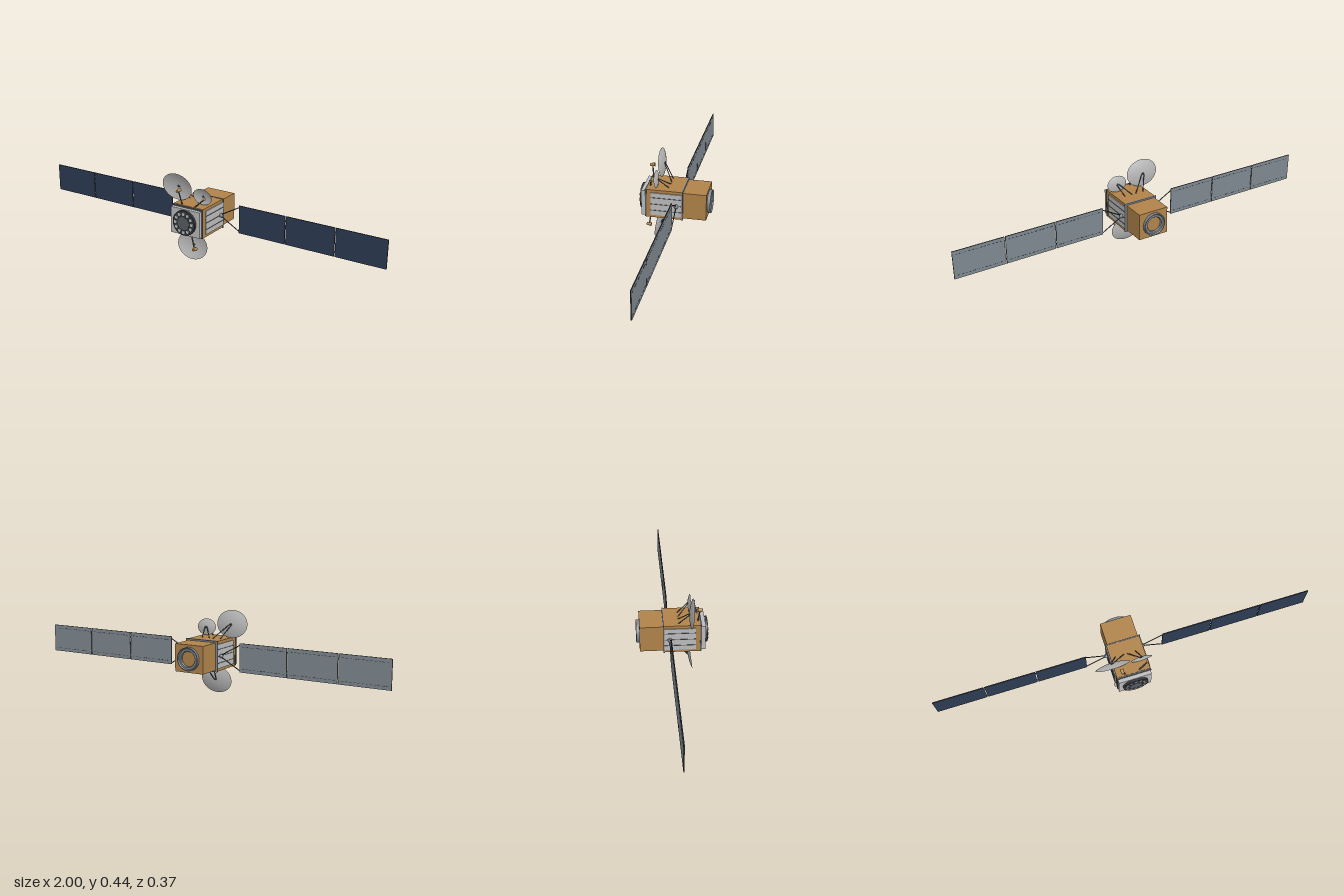
import * as THREE from 'three';

const mat = (name, color, side = THREE.FrontSide) => {
  const m = new THREE.MeshStandardMaterial({ color, side });
  m.name = name;
  return m;
};

export function createModel() {
  const root = new THREE.Group();
  root.name = 'satellite';
  const foil = mat('gold foil', 0xb0834a);
  const light = mat('light grey', 0xbcbcbc);
  const dishMat = mat('dish grey', 0xb8b8b8, THREE.DoubleSide);
  const grey = mat('blue grey', 0x7f8890);
  const steel = mat('strut grey', 0x565c62);
  const dark = mat('dark grey', 0x33383c);
  const blue = mat('solar blue', 0x2c3c52);
  const CY = 0.225; // height of the body axis

  const add = (name, geo, m, x = 0, y = 0, z = 0, parent = root) => {
    const mesh = new THREE.Mesh(geo, m);
    mesh.name = name;
    mesh.position.set(x, y, z);
    parent.add(mesh);
    return mesh;
  };
  const box = (name, w, h, d, m, x, y, z, parent) =>
    add(name, new THREE.BoxGeometry(w, h, d), m, x, y, z, parent);
  // cylinder along z; r1 is the radius at the +z end
  const disc = (name, r1, r2, d, m, x, y, z, parent) =>
    add(name, new THREE.CylinderGeometry(r1, r2, d, 40).rotateX(Math.PI / 2), m, x, y, z, parent);
  const rod = (name, a, b, r, m) => {
    const p = new THREE.Vector3(...a), q = new THREE.Vector3(...b);
    const mesh = add(name, new THREE.CylinderGeometry(r, r, p.distanceTo(q), 10), m);
    mesh.position.copy(p).add(q).multiplyScalar(0.5);
    mesh.quaternion.setFromUnitVectors(new THREE.Vector3(0, 1, 0), q.sub(p).normalize());
  };

  // Body
  box('mainBody', 0.176, 0.155, 0.185, foil, 0, CY, 0.0475);
  box('rearBody', 0.164, 0.142, 0.122, foil, 0, CY, -0.106);
  box('bodyFlange', 0.186, 0.159, 0.006, grey, 0, CY, -0.044);
  box('frontFrame', 0.18, 0.152, 0.008, steel, 0, CY, 0.144);
  box('frontDeck', 0.172, 0.138, 0.02, light, 0, CY, 0.158);

  // Front docking ring with studs
  disc('frontRing', 0.066, 0.066, 0.013, dark, 0, CY, 0.1745);
  disc('frontHub', 0.034, 0.034, 0.004, steel, 0, CY, 0.182);
  for (let i = 0; i < 12; i++) {
    const a = (i / 12) * Math.PI * 2;
    disc('frontStud', 0.008, 0.008, 0.004, light,
      Math.cos(a) * 0.049, CY + Math.sin(a) * 0.049, 0.183);
  }

  // Rear nozzle ring, open in the middle
  const ringProfile = [[0.038, 0], [0.06, 0], [0.06, 0.016], [0.056, 0.016], [0.052, 0.01], [0.042, 0.01], [0.038, 0.005], [0.038, 0]];
  const rearRing = new THREE.LatheGeometry(ringProfile.map(p => new THREE.Vector2(...p)), 40).toNonIndexed();
  rearRing.computeVertexNormals();
  add('rearRing', rearRing.rotateX(-Math.PI / 2), grey, 0, CY, -0.167);
  disc('rearRingCore', 0.038, 0.038, 0.003, foil, 0, CY, -0.168);

  // Solar wings: panels are blue in front, grey behind, dark on the edges
  const panelMats = [dark, dark, dark, dark, blue, grey];
  const WZ = -0.015;
  for (const s of [1, -1]) {
    // Ribbed radiator on the side of the body
    box('sideRadiator', 0.006, 0.125, 0.159, light, s * 0.09, CY, 0.0385);
    for (const y of [0.19, 0.225, 0.261])
      box('radiatorRib', 0.003, 0.0025, 0.159, steel, s * 0.094, y, 0.0385);

    add('wingHub', new THREE.SphereGeometry(0.011, 20, 14), grey, s * 0.097, CY, WZ);
    for (const v of [1, -1]) {
      rod('wingYoke', [s * 0.1, CY + v * 0.006, WZ], [s * 0.207, CY + v * 0.066, WZ], 0.0025, dark);
    }
    for (let i = 0; i < 3; i++) {
      const x = s * (0.3355 + i * 0.2665);
      const panel = new THREE.Group();
      panel.name = 'solarPanel';
      panel.position.set(x, 0.226, WZ);
      root.add(panel);
      box('panelSheet', 0.262, 0.148, 0.005, panelMats, 0, 0, 0, panel);
      for (const v of [1, -1]) {
        for (let k = 0; k < 12; k++)
          box('panelDash', 0.012, 0.0018, 0.001, dark, -0.11 + k * 0.02, v * 0.056, -0.0027, panel);
        if (i < 2) box('panelHinge', 0.008, 0.008, 0.004, dark, s * 0.1333, v * 0.05, 0, panel);
      }
    }
  }

  // Antennas: shallow oval dish, two rear struts, feed horn on a stalk
  const antenna = ({ c, rx, ry, depth, tilt, foot, feed, feedR, stalk }) => {
    const pts = [];
    for (let i = 0; i <= 8; i++) pts.push(new THREE.Vector2(i / 8, (i / 8) ** 2 - 1));
    const dish = add('dish', new THREE.LatheGeometry(pts, 40).rotateX(Math.PI / 2), dishMat, ...c);
    dish.scale.set(rx, ry, depth);
    dish.rotation.x = tilt;
    const back = c[2] - depth;
    for (const d of [-1, 1])
      rod('dishStrut', [c[0] + d * 0.006, c[1], back], [foot[0] + d * 0.022, foot[1], foot[2]], 0.0025, steel);
    add('dishBoss', new THREE.SphereGeometry(0.005, 12, 8), dark, c[0], c[1], back);
    rod('feedStalk', stalk, feed, 0.0035, steel);
    const horn = disc('feedHorn', feedR * 0.7, feedR, feedR * 2.5, foil, ...feed);
    horn.rotation.x = tilt;
  };
  antenna({ c: [-0.096, 0.375, 0.098], rx: 0.089, ry: 0.072, depth: 0.014, tilt: 0.12,
    foot: [-0.04, 0.3, 0.03], feed: [-0.059, 0.374, 0.14], feedR: 0.01, stalk: [-0.042, 0.298, 0.13] });
  antenna({ c: [0.055, 0.349, 0.095], rx: 0.055, ry: 0.043, depth: 0.009, tilt: 0.12,
    foot: [0.022, 0.3, 0.03], feed: [0.08, 0.346, 0.119], feedR: 0.006, stalk: [0.03, 0.298, 0.131] });
  antenna({ c: [-0.003, 0.0755, 0.098], rx: 0.09, ry: 0.073, depth: 0.014, tilt: -0.12,
    foot: [-0.003, 0.149, 0.03], feed: [0.037, 0.077, 0.14], feedR: 0.01, stalk: [0.012, 0.152, 0.13] });

  return root;
}
